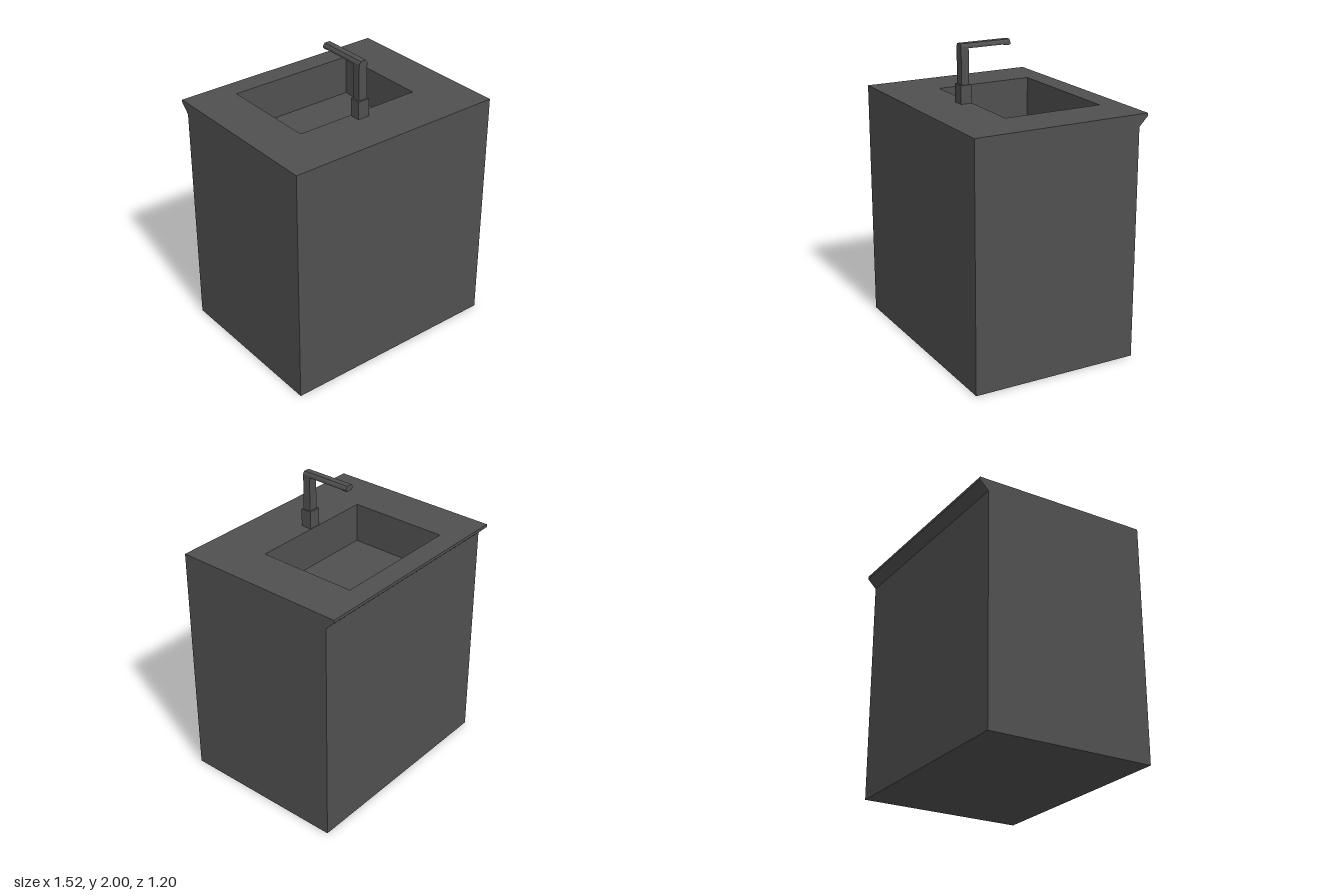
import * as THREE from 'three';
import { mergeGeometries } from 'three/addons/utils/BufferGeometryUtils.js';

const W = 0.762, TOP = 1.62;

// flat four-cornered face, corners anticlockwise seen from its front
function quad(a, b, c, d) {
  const g = new THREE.BufferGeometry();
  g.setAttribute('position', new THREE.Float32BufferAttribute([a, b, c, a, c, d].flat(), 3));
  g.computeVertexNormals();
  return g;
}

const polygon = (points) => new THREE.Shape(points.map(([x, y]) => new THREE.Vector2(x, y)));

export function createModel() {
  const model = new THREE.Group();
  const charcoal = new THREE.MeshStandardMaterial({ color: 0x505050 });
  charcoal.name = 'charcoal';

  function add(parent, name, geometry, x = 0, y = 0, z = 0) {
    const mesh = new THREE.Mesh(geometry, charcoal);
    mesh.name = name;
    mesh.position.set(x, y, z);
    parent.add(mesh);
  }

  // cabinet: side profile as (z, y), with the bevelled lip along the back
  const profile = [[0.6, TOP], [0.6, 0], [-0.54, 0], [-0.54, 1.54], [-0.6, 1.6], [-0.6, TOP]];
  const faces = [];
  for (let i = 0; i < profile.length - 1; i++) {
    const [z0, y0] = profile[i], [z1, y1] = profile[i + 1];
    faces.push(quad([-W, y0, z0], [-W, y1, z1], [W, y1, z1], [W, y0, z0]));
  }
  add(model, 'cabinetShell', mergeGeometries(faces));
  add(model, 'rightSide', new THREE.ShapeGeometry(polygon(profile)).rotateY(-Math.PI / 2), -W);
  const mirrored = profile.map(([z, y]) => [-z, y]);
  add(model, 'leftSide', new THREE.ShapeGeometry(polygon(mirrored)).rotateY(Math.PI / 2), W);

  // worktop with the basin opening
  const rim = [[-0.447, 0.222], [0.447, 0.222], [0.447, -0.455], [-0.447, -0.455]]; // (x, z)
  const worktop = polygon([[-W, -0.6], [W, -0.6], [W, 0.6], [-W, 0.6]]);
  worktop.holes.push(new THREE.Path(rim.map(([x, z]) => new THREE.Vector2(x, -z))));
  add(model, 'worktop', new THREE.ShapeGeometry(worktop).rotateX(-Math.PI / 2), 0, TOP);

  // sunken basin: four walls facing inwards and a floor
  const floorY = TOP - 0.27;
  const basin = rim.map(([x0, z0], i) => {
    const [x1, z1] = rim[(i + 1) % 4];
    return quad([x0, TOP, z0], [x1, TOP, z1], [x1, floorY, z1], [x0, floorY, z0]);
  });
  basin.push(quad(...rim.map(([x, z]) => [x, floorY, z])));
  add(model, 'basin', mergeGeometries(basin));

  // tap: square base, upright post, bevelled spout with a small outlet
  const tap = new THREE.Group();
  tap.name = 'tap';
  tap.position.x = -0.023;
  model.add(tap);
  add(tap, 'tapBase', new THREE.BoxGeometry(0.082, 0.12, 0.074), 0, 1.68, 0.263);
  add(tap, 'tapPost', new THREE.BoxGeometry(0.062, 0.235, 0.053), 0, 1.8575, 0.2635);
  const spout = polygon([[-0.031, 0], [0.031, 0], [0.031, 0.013], [0.02, 0.03], [-0.02, 0.03], [-0.031, 0.013]]);
  add(tap, 'spout', new THREE.ExtrudeGeometry(spout, { depth: 0.35, bevelEnabled: false }), 0, 1.97, -0.06);
  add(tap, 'outlet', new THREE.BoxGeometry(0.05, 0.008, 0.035), 0, 1.967, -0.0425);

  return model;
}
